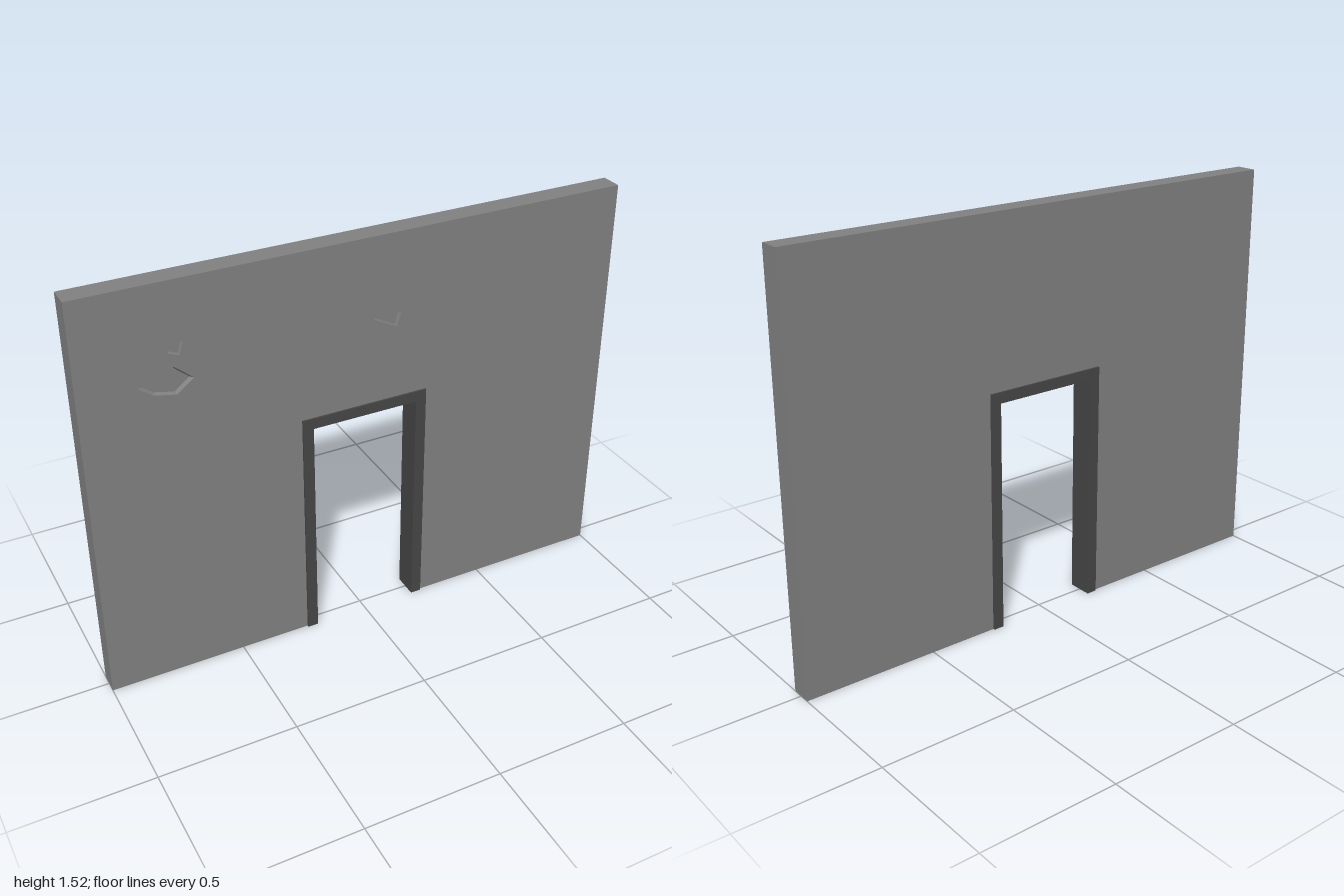
import * as THREE from 'three';

const HALF_DEPTH = 0.04;    // wall half thickness
const FRAME_DEPTH = 0.047;  // door frame half thickness
const DENT_FLOOR = 0.028;   // z of the chipped floor

const toPoints = (list) => list.map(([x, y]) => new THREE.Vector2(x, y));

// Ribbon of quads between two closed outlines; counter-clockwise from the back outline faces outward
function ribbon(back, zBack, front, zFront) {
  const pos = [];
  back.forEach((a, i) => {
    const j = (i + 1) % back.length;
    const b = back[j], c = front[j], d = front[i];
    pos.push(a.x, a.y, zBack, b.x, b.y, zBack, c.x, c.y, zFront);
    pos.push(a.x, a.y, zBack, c.x, c.y, zFront, d.x, d.y, zFront);
  });
  const geo = new THREE.BufferGeometry();
  geo.setAttribute('position', new THREE.Float32BufferAttribute(pos, 3));
  geo.computeVertexNormals();
  return geo;
}

export function createModel() {
  const plaster = new THREE.MeshStandardMaterial({ color: 0x808080 });
  plaster.name = 'wall grey';
  const trim = new THREE.MeshStandardMaterial({ color: 0x464646 });
  trim.name = 'frame dark grey';

  const model = new THREE.Group();
  model.name = 'wallWithDoorway';
  const add = (parent, name, geo, mat) => {
    const mesh = new THREE.Mesh(geo, mat);
    mesh.name = name;
    parent.add(mesh);
    return mesh;
  };

  // Wall outline with the doorway cut up from the floor, counter-clockwise
  const outline = toPoints([
    [-1, 0], [-0.24, 0], [-0.24, 0.9], [0.24, 0.9], [0.24, 0], [1, 0], [1, 1.52], [-1, 1.52],
  ]);

  // Chipped dents, counter-clockwise
  const dents = [
    [[-0.797, 1.17], [-0.75, 1.137], [-0.672, 1.12], [-0.612, 1.167], [-0.674, 1.22], [-0.743, 1.23]],
    [[-0.69, 1.326], [-0.692, 1.273], [-0.655, 1.257], [-0.64, 1.302]],
    [[0.032, 1.22], [0.123, 1.173], [0.137, 1.225], [0.075, 1.235]],
  ].map(toPoints);

  // Wall skin
  const wall = new THREE.Group();
  wall.name = 'wall';
  model.add(wall);
  const frontShape = new THREE.Shape(outline);
  dents.forEach((d) => frontShape.holes.push(new THREE.Path(d)));
  add(wall, 'wallFront', new THREE.ShapeGeometry(frontShape).translate(0, 0, HALF_DEPTH), plaster);
  const mirrored = outline.map((p) => new THREE.Vector2(-p.x, p.y)).reverse();
  const backGeo = new THREE.ShapeGeometry(new THREE.Shape(mirrored)).rotateY(Math.PI);
  add(wall, 'wallBack', backGeo.translate(0, 0, -HALF_DEPTH), plaster);
  add(wall, 'wallEdges', ribbon(outline, -HALF_DEPTH, outline, HALF_DEPTH), plaster);

  // Dents: sloped sides down to a smaller floor
  dents.forEach((rim) => {
    const centre = rim.reduce((s, p) => s.add(p), new THREE.Vector2()).divideScalar(rim.length);
    const floor = rim.map((p) => centre.clone().lerp(p, 0.88));
    const dent = new THREE.Group();
    dent.name = 'dent';
    wall.add(dent);
    add(dent, 'dentSides', ribbon(rim, HALF_DEPTH, floor, DENT_FLOOR), plaster);
    const floorGeo = new THREE.ShapeGeometry(new THREE.Shape(floor));
    add(dent, 'dentFloor', floorGeo.translate(0, 0, DENT_FLOOR), plaster);
  });

  // Door frame, standing slightly proud of both wall faces
  const frameShape = new THREE.Shape(toPoints([
    [-0.24, 0], [-0.2, 0], [-0.2, 0.86], [0.2, 0.86], [0.2, 0], [0.24, 0], [0.24, 0.9], [-0.24, 0.9],
  ]));
  const frameGeo = new THREE.ExtrudeGeometry(frameShape, { depth: 2 * FRAME_DEPTH, bevelEnabled: false });
  add(model, 'doorFrame', frameGeo.translate(0, 0, -FRAME_DEPTH), trim);

  return model;
}
